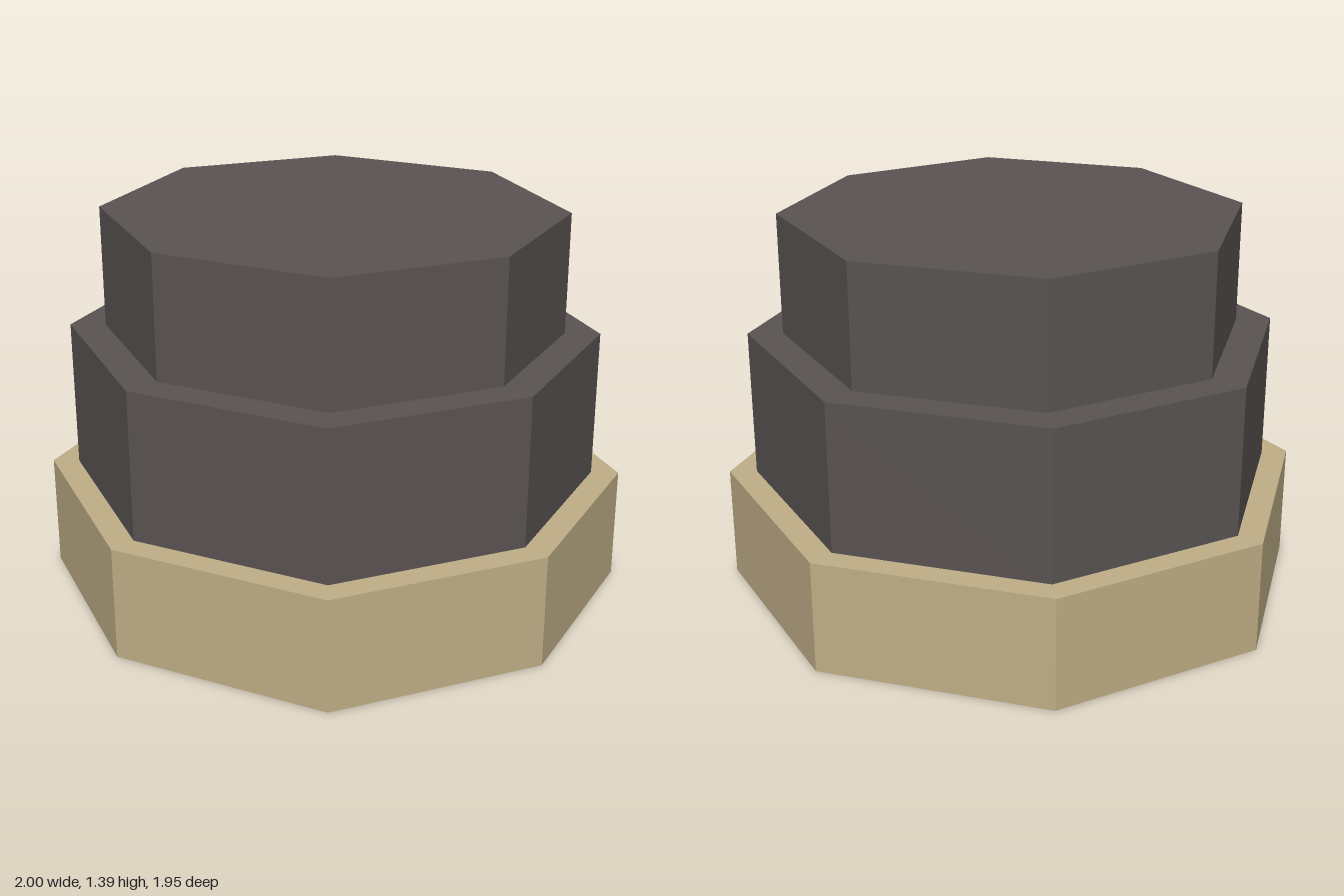
import * as THREE from 'three';

// Slightly irregular eight-sided outline, as [x, z]
const OUTLINE = [
  [1, 0.31], [0.51, 0.915], [-0.285, 0.97], [-0.91, 0.49],
  [-1, -0.305], [-0.48, -0.91], [0.355, -0.975], [0.975, -0.44],
];

// Upright prism with the scaled outline, from y0 to y1
function tier(name, scale, dx, y0, y1, material) {
  const shape = new THREE.Shape(
    OUTLINE.map(([x, z]) => new THREE.Vector2(x * scale + dx, -z * scale))
  );
  const geometry = new THREE.ExtrudeGeometry(shape, { depth: y1 - y0, bevelEnabled: false });
  geometry.rotateX(-Math.PI / 2);
  const mesh = new THREE.Mesh(geometry, material);
  mesh.name = name;
  mesh.position.y = y0;
  return mesh;
}

export function createModel() {
  const tan = new THREE.MeshStandardMaterial({ color: 0xc0ae86 });
  tan.name = 'tan';
  const charcoal = new THREE.MeshStandardMaterial({ color: 0x5a5453 });
  charcoal.name = 'charcoal';

  const model = new THREE.Group();
  model.name = 'steppedDrum';
  model.add(
    tier('base', 1, 0, 0, 0.41, tan),
    tier('middleTier', 0.907, 0, 0.41, 0.95, charcoal),
    tier('topTier', 0.786, 0.004, 0.95, 1.39, charcoal)
  );
  return model;
}
